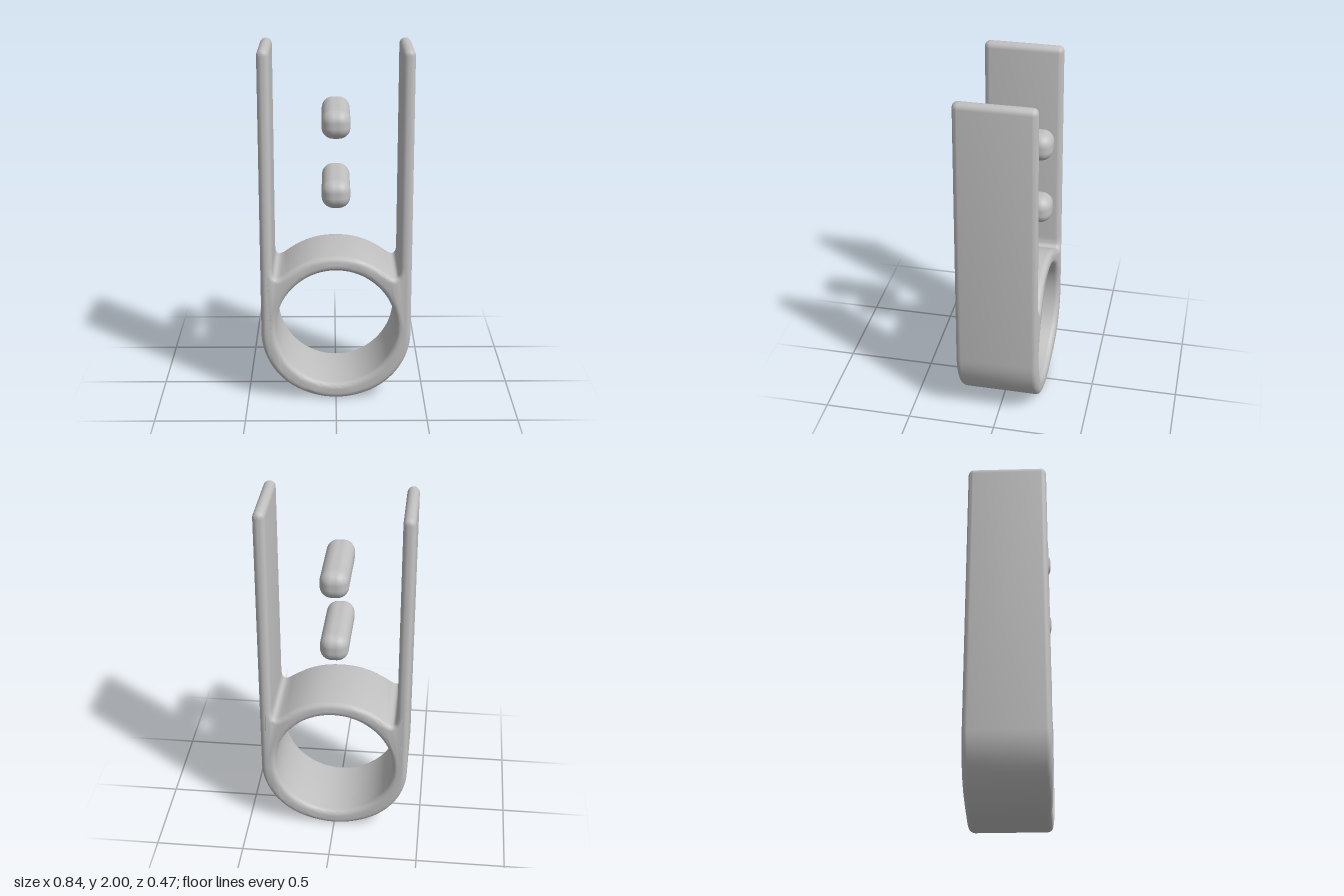
import * as THREE from 'three';
import { mergeVertices, toCreasedNormals } from 'three/addons/utils/BufferGeometryUtils.js';
import { RoundedBoxGeometry } from 'three/addons/geometries/RoundedBoxGeometry.js';

const OUT = 0.42, INN = 0.354;           // outer and inner faces of the arms
const TIP = (OUT - INN) / 2;             // radius of the rounded arm tip
const BEVEL = 0.03, DEPTH = 0.45;

// Right half of the outline, from the bottom centre up the arm and down to the top of the ring
function halfOutline() {
  const pts = [];
  for (let i = 0; i <= 20; i++) {        // round bottom
    const a = (i / 20) * Math.PI / 2;
    pts.push(new THREE.Vector2(OUT * Math.sin(a), 0.4 - 0.4 * Math.cos(a)));
  }
  for (let i = 0; i <= 10; i++) {        // arm tip
    const a = (i / 10) * Math.PI;
    pts.push(new THREE.Vector2((OUT + INN) / 2 + TIP * Math.cos(a), 2 - TIP + TIP * Math.sin(a)));
  }
  const crown = new THREE.CurvePath();   // fillet, then the arched top of the ring
  const v = (x, y) => new THREE.Vector2(x, y);
  crown.add(new THREE.CubicBezierCurve(v(INN, 0.79), v(INN, 0.74), v(0.345, 0.705), v(0.29, 0.748)));
  crown.add(new THREE.CubicBezierCurve(v(0.29, 0.748), v(0.2, 0.815), v(0.12, 0.85), v(0, 0.85)));
  pts.push(...crown.getPoints(10));
  return pts;
}

function frameGeometry() {
  const half = halfOutline();
  const mirrored = half.slice(1, -1).reverse().map(p => new THREE.Vector2(-p.x, p.y));
  const shape = new THREE.Shape([...half, ...mirrored]);
  const hole = new THREE.Path();
  hole.absellipse(0, 0.43, 0.338, 0.34, 0, Math.PI * 2, true);
  shape.holes.push(hole);

  let geo = new THREE.ExtrudeGeometry(shape, {
    depth: DEPTH - 2 * BEVEL, curveSegments: 48,
    bevelEnabled: true, bevelSize: BEVEL, bevelThickness: BEVEL, bevelOffset: -BEVEL, bevelSegments: 5,
  });
  geo.translate(0, 0, -(DEPTH - 2 * BEVEL) / 2);

  // The ring swells slightly in depth at its sides; the arms stay slimmer
  const p = geo.attributes.position;
  for (let i = 0; i < p.count; i++) {
    const y = p.getY(i);
    const low = 1 - THREE.MathUtils.smoothstep(y, 0.7, 0.9);
    const side = THREE.MathUtils.smoothstep(Math.abs(p.getX(i)), 0.1, 0.35);
    p.setZ(i, p.getZ(i) * (0.98 + low * (0.025 + 0.035 * side)));
  }
  geo.deleteAttribute('normal');
  geo.deleteAttribute('uv');
  geo = mergeVertices(geo, 1e-4);
  return toCreasedNormals(geo, 0.7);
}

export function createModel() {
  const model = new THREE.Group();
  model.name = 'ringWithArms';
  const grey = new THREE.MeshStandardMaterial({ color: 0xc0c0c0 });
  grey.name = 'plain grey';

  // Ring and the two tall arms in one piece
  const frame = new THREE.Mesh(frameGeometry(), grey);
  frame.name = 'ringAndArms';
  model.add(frame);

  // Two floating rounded bars between the arms
  const barGeo = new RoundedBoxGeometry(0.157, 0.157, 0.47, 6, 0.064);
  [['lowerBar', 1.205], ['upperBar', 1.593]].forEach(([name, y]) => {
    const bar = new THREE.Mesh(barGeo, grey);
    bar.name = name;
    bar.position.y = y;
    model.add(bar);
  });
  return model;
}
